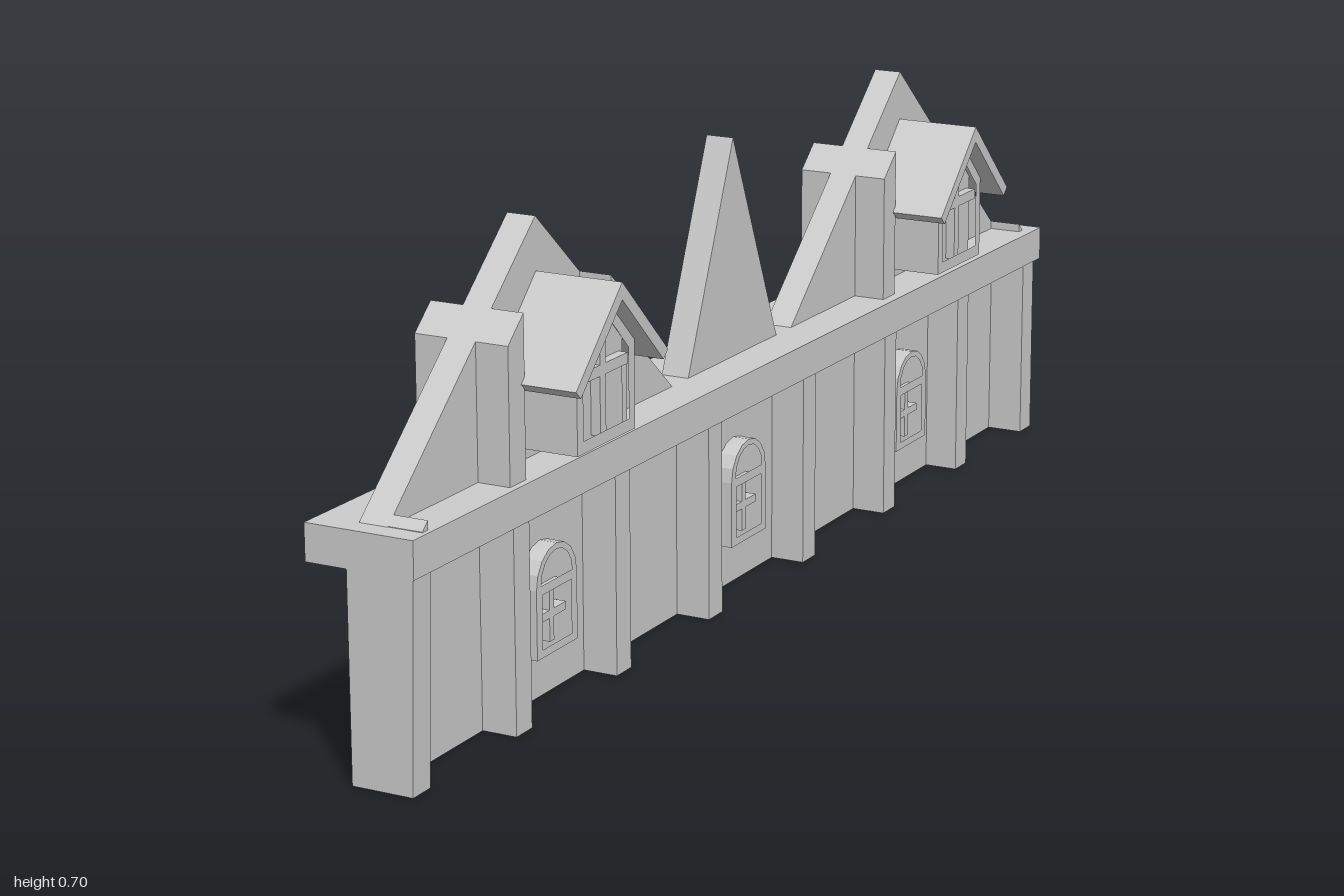
import * as THREE from 'three';

const material = new THREE.MeshStandardMaterial({ color: 0xcccccc, flatShading: true });
const WALL_BACK = -0.06, WALL_FRONT = -0.015;
const PIER_BACK = -0.112, PIER_FRONT = 0.04;

function add(parent, name, geometry) {
  const mesh = new THREE.Mesh(geometry, material);
  mesh.name = name;
  parent.add(mesh);
  return mesh;
}

// Box given by its limits on each axis
function block(parent, name, x0, x1, y0, y1, z0, z1) {
  const g = new THREE.BoxGeometry(x1 - x0, y1 - y0, z1 - z0);
  g.translate((x0 + x1) / 2, (y0 + y1) / 2, (z0 + z1) / 2);
  return add(parent, name, g);
}

// Outline of [z, y] points, with optional holes, extruded along x
function prism(parent, name, points, x0, x1, holes = []) {
  const toVectors = (list) => list.map(([z, y]) => new THREE.Vector2(-z, y));
  const shape = new THREE.Shape(toVectors(points));
  holes.forEach((h) => shape.holes.push(new THREE.Path(toVectors(h))));
  const g = new THREE.ExtrudeGeometry(shape, { depth: x1 - x0, bevelEnabled: false });
  g.rotateY(Math.PI / 2);
  g.translate(x0, 0, 0);
  return add(parent, name, g);
}

// Points of a half circle, from +z over the top to -z
function arch(radius, y, sides = 8) {
  return Array.from({ length: sides + 1 }, (_, i) => {
    const a = (Math.PI * i) / sides;
    return [radius * Math.cos(a), y + radius * Math.sin(a)];
  });
}

// Arched window facing +x, its back on x = 0
function archedWindow() {
  const group = new THREE.Group();
  group.name = 'archedWindow';
  const opening = [[-0.04, 0.085], [0.04, 0.085], [0.04, 0.166], [-0.04, 0.166]];
  prism(group, 'windowFrame', [[-0.056, 0.073], [0.056, 0.073], ...arch(0.056, 0.176)], 0, 0.027,
    [opening, arch(0.043, 0.18)]);
  block(group, 'windowMullion', 0, 0.018, 0.085, 0.166, -0.006, 0.006);
  block(group, 'windowTransom', 0, 0.018, 0.12, 0.132, -0.04, 0.04);
  return group;
}

// Gabled dormer projecting to +x
function dormer() {
  const group = new THREE.Group();
  group.name = 'dormer';
  const outline = (w, y0, eave, peak) => [[-w, y0], [w, y0], [w, eave], [0, peak], [-w, eave]];
  prism(group, 'dormerBody', outline(0.08, 0.39, 0.52, 0.6), WALL_FRONT, 0.075);
  prism(group, 'dormerFrame', outline(0.08, 0.39, 0.52, 0.6), 0.075, 0.095,
    [outline(0.063, 0.408, 0.512, 0.575)]);
  block(group, 'dormerMullion', 0.075, 0.09, 0.4, 0.58, -0.008, 0.008);
  block(group, 'dormerTransom', 0.075, 0.09, 0.486, 0.502, -0.07, 0.07);
  prism(group, 'dormerRoof', [[0, 0.622], [0.128, 0.497], [0.115, 0.485], [0, 0.597],
    [-0.115, 0.485], [-0.128, 0.497]], WALL_FRONT, 0.122);
  return group;
}

export function createModel() {
  const model = new THREE.Group();
  model.name = 'gabledFacade';

  block(model, 'wall', WALL_BACK, WALL_FRONT, 0, 0.36, -1, 1);

  // Ledge, set very slightly askew to the wall
  const ledge = block(model, 'ledge', -0.119, 0.051, 0.305, 0.36, -1, 1).geometry;
  const lp = ledge.attributes.position;
  for (let i = 0; i < lp.count; i++) lp.setX(i, lp.getX(i) - 0.006 * lp.getZ(i));

  // Pilasters through the wall
  for (const z of [0.72, 0.44, 0.16, -0.15, -0.44, -0.72]) {
    block(model, 'pilaster', PIER_BACK, PIER_FRONT, 0, 0.32, z - 0.021, z + 0.021);
  }

  // End piers on the front side only; the +z one leans out at the top
  const pier = block(model, 'endPier', WALL_FRONT, 0.036, 0, 0.32, 0.957, 1).geometry;
  const pp = pier.attributes.position;
  for (let i = 0; i < pp.count; i++) {
    if (pp.getX(i) > 0 && pp.getY(i) > 0.1) pp.setX(i, 0.044);
  }
  block(model, 'endPier', WALL_FRONT, 0.045, 0, 0.32, -1, -0.957);

  // Windows on both faces of the wall
  for (const z of [0.58, 0, -0.58]) {
    for (const [x, turn] of [[WALL_FRONT, 0], [WALL_BACK, Math.PI]]) {
      const w = archedWindow();
      w.position.set(x, 0, z);
      w.rotation.y = turn;
      model.add(w);
    }
  }

  // Large gables, each with two sloped buttresses, a ridge stub and a dormer
  for (const s of [1, -1]) {
    const roofY = (z) => 0.7 - Math.abs(z - 0.58) * (0.34 / 0.387);
    const strip = (name, za, zb, x0, x1) => prism(model, name,
      [[s * za, 0.355], [s * zb, 0.355], [s * zb, roofY(zb)], [s * za, roofY(za)]], x0, x1);
    prism(model, 'gable', [[s * 0.193, 0.36], [s * 0.967, 0.36], [s * 0.58, 0.7]], WALL_BACK, WALL_FRONT);
    strip('gableButtress', 0.699, 0.741, PIER_BACK, 0.036);
    strip('gableButtress', 0.419, 0.461, PIER_BACK, 0.036);
    strip('gableEndStub', 0.952, 0.966, WALL_FRONT, 0.038);
    const d = dormer();
    d.position.z = s * 0.58;
    model.add(d);
  }

  // Narrow centre gable
  prism(model, 'centreGable', [[-0.143, 0.36], [0.143, 0.36], [0, 0.7]], WALL_BACK, WALL_FRONT);

  return model;
}
